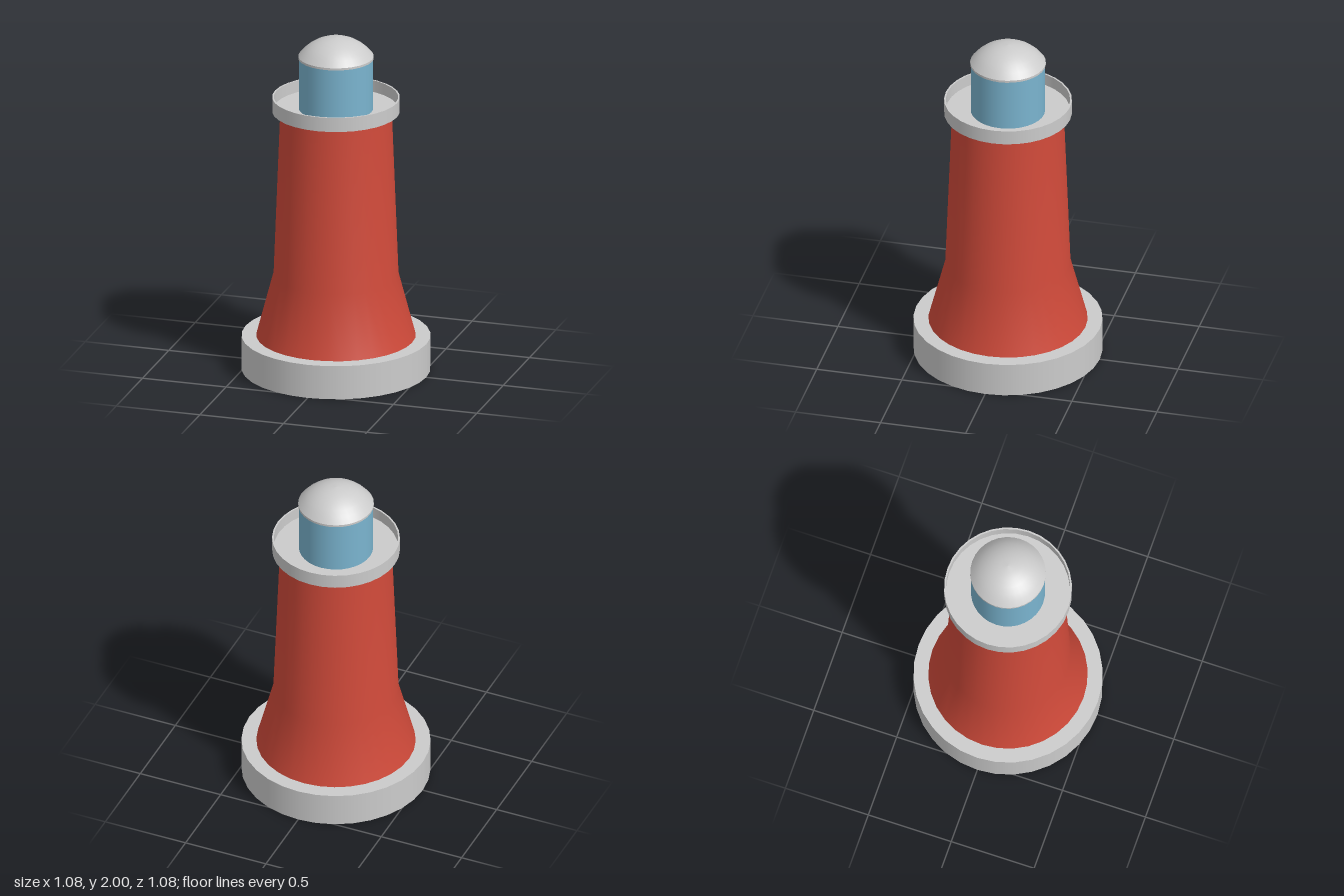
import * as THREE from 'three';
import { mergeGeometries } from 'three/addons/utils/BufferGeometryUtils.js';

const SIDES = 32;
const vectors = (points) => points.map(([r, y]) => new THREE.Vector2(r, y));

// Turned shape with smooth normals along the whole profile
const smoothTurned = (points) => new THREE.LatheGeometry(vectors(points), SIDES);

// Turned shape with a sharp edge at every profile point
const crispTurned = (points) => mergeGeometries(
  points.slice(1).map((p, i) => smoothTurned([points[i], p]))
);

export function createModel() {
  const model = new THREE.Group();
  model.name = 'lighthouse';

  const material = (color) => new THREE.MeshStandardMaterial({ color, side: THREE.DoubleSide });
  const grey = material(0xcccccc);
  const red = material(0xd04a3a);
  const blue = material(0x7ab4cf);

  const add = (name, geometry, mat) => {
    const mesh = new THREE.Mesh(geometry, mat);
    mesh.name = name;
    model.add(mesh);
  };

  // Plinth: open underneath, with a ledge running in to the tower foot
  add('base', crispTurned([[0.54, 0], [0.54, 0.2], [0.455, 0.2]]), grey);

  // Hollow tower with a flared foot
  add('tower', smoothTurned([[0.455, 0.2], [0.358, 0.57], [0.32, 1.545]]), red);

  // Gallery: sloping underside, thin parapet and sunken floor
  add('gallery', crispTurned([
    [0.32, 1.54], [0.365, 1.555], [0.365, 1.64],
    [0.355, 1.64], [0.355, 1.57], [0, 1.57],
  ]), grey);

  // Lamp room
  add('lampRoom', smoothTurned([[0.212, 1.57], [0.212, 1.88]]), blue);

  // Roof: narrow eave band below a shallow spherical cap
  add('roofBand', crispTurned([[0.212, 1.875], [0.216, 1.875], [0.216, 1.888]]), grey);
  const rise = 0.112;
  const radius = (0.216 ** 2 + rise ** 2) / (2 * rise);
  const sweep = Math.asin(0.216 / radius);
  const cap = [];
  for (let i = 0; i <= 6; i++) {
    const a = sweep * (1 - i / 6);
    cap.push([radius * Math.sin(a), 2 - radius + radius * Math.cos(a)]);
  }
  add('roofDome', smoothTurned(cap), grey);

  return model;
}
